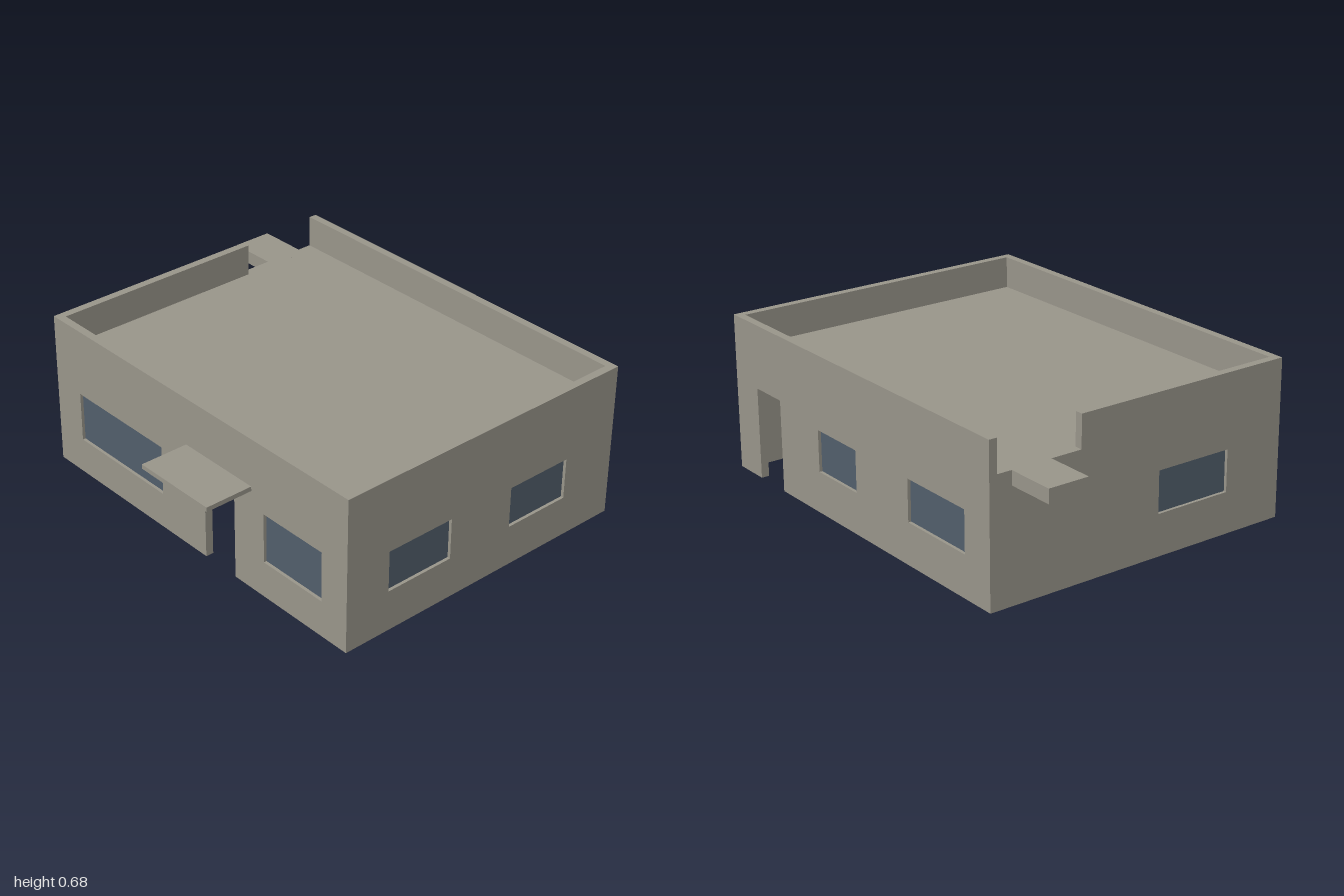
import * as THREE from 'three';

const X0 = -0.785, X1 = 0.995, Z0 = -0.82, Z1 = 0.605; // outer footprint
const T = 0.035, H = 0.68, ROOF = 0.54, SLAB = 0.06;

export function createModel() {
  const house = new THREE.Group();
  house.name = 'house';
  const concrete = new THREE.MeshStandardMaterial({ color: 0x9b978c });
  concrete.name = 'concrete';
  const glass = new THREE.MeshStandardMaterial({ color: 0x53606d });
  glass.name = 'windowGlass';

  // Box given by its lower and upper corners
  function block(name, a, b, material = concrete, parent = house) {
    const mesh = new THREE.Mesh(new THREE.BoxGeometry(b[0] - a[0], b[1] - a[1], b[2] - a[2]), material);
    mesh.position.set((a[0] + b[0]) / 2, (a[1] + b[1]) / 2, (a[2] + b[2]) / 2);
    mesh.name = name;
    parent.add(mesh);
  }

  // Wall with window openings [left, right, bottom, top] and recessed panes
  function wall(name, outline, windows) {
    const group = new THREE.Group();
    group.name = name;
    const shape = new THREE.Shape(outline.map(([u, v]) => new THREE.Vector2(u, v)));
    for (const [l, r, b, t] of windows) {
      shape.holes.push(new THREE.Path([[l, b], [l, t], [r, t], [r, b]].map(([u, v]) => new THREE.Vector2(u, v))));
      block('windowPane', [l, b, T / 2 - 0.004], [r, t, T / 2 + 0.004], glass, group);
    }
    const mesh = new THREE.Mesh(new THREE.ExtrudeGeometry(shape, { depth: T, bevelEnabled: false }), concrete);
    mesh.name = name + 'Panel';
    group.add(mesh);
    house.add(group);
    return group;
  }

  // Full-height wall outline with a doorway cut up from the ground
  const withDoor = (l, r) => [[X0, 0], [l, 0], [l, 0.4], [r, 0.4], [r, 0], [X1, 0], [X1, H], [X0, H]];

  const front = wall('frontWall', withDoor(0.178, 0.358),
    [[-0.63, -0.09, 0.16, 0.38], [0.53, 0.857, 0.16, 0.38]]);
  front.position.z = Z1 - T;

  const back = wall('backWall', withDoor(0.65, 0.83),
    [[-0.63, -0.265, 0.18, 0.36], [0.092, 0.364, 0.18, 0.36]]);
  back.position.z = Z0;

  // Side walls are drawn along z, then turned into place
  const za = Z0 + T, zb = Z1 - T;
  const left = wall('leftWall', [[za, 0], [zb, 0], [zb, H], [za, H]],
    [[0.075, 0.395, 0.18, 0.36], [-0.555, -0.245, 0.18, 0.36]]);
  left.rotation.y = -Math.PI / 2;
  left.position.x = X1;

  // Right wall has a gap in its parapet leading to the landing
  const right = wall('rightWall', [[za, 0], [zb, 0], [zb, H], [-0.4, H], [-0.4, ROOF], [za, ROOF]],
    [[-0.02, 0.33, 0.18, 0.36]]);
  right.rotation.y = -Math.PI / 2;
  right.position.x = X0 + T;

  // Roof, side landing and door canopy
  block('roofSlab', [X0 + T, ROOF - SLAB, za], [X1 - T, ROOF, zb]);
  block('roofLanding', [-1, ROOF - SLAB, -0.72], [X0, ROOF, -0.54]);
  block('doorCanopy', [0.07, 0.45, Z1], [0.46, 0.47, 0.82]);

  return house;
}
